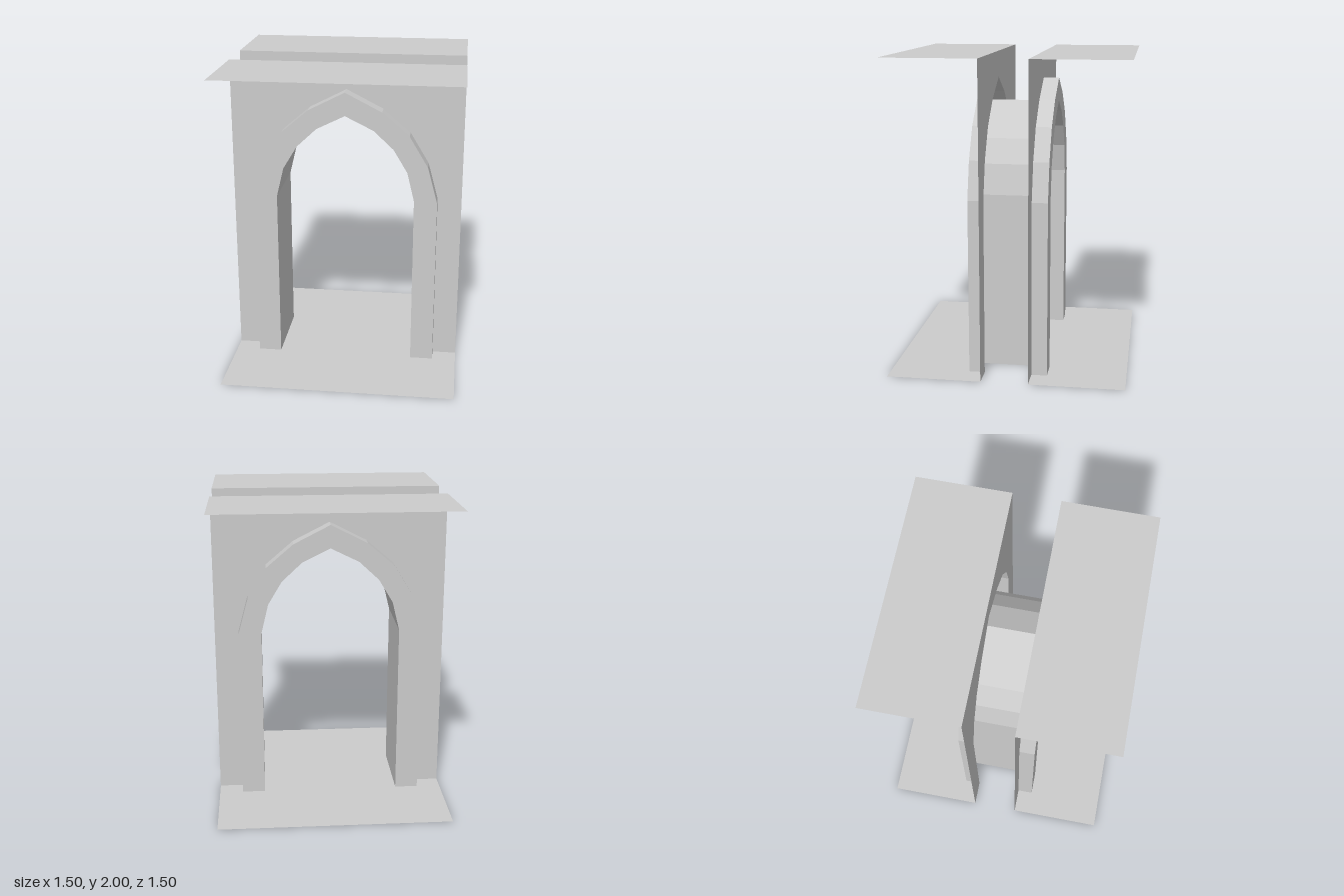
import * as THREE from 'three';

const material = new THREE.MeshStandardMaterial({
  color: 0xcccccc, flatShading: true, side: THREE.DoubleSide,
});

const WALL_Z = 0.15;   // wall planes
const FRAME_Z = 0.25;  // faces of the projecting arch frame
const HALF = 0.75;     // half width and half depth
const HEIGHT = 2;

// Right half of each pointed arch, from foot to peak
const OUTER = [[0.595, 0], [0.595, 1.12], [0.53, 1.36], [0.41, 1.56], [0.235, 1.71], [0, 1.83]];
const INNER = [[0.446, 0], [0.446, 1.13], [0.4, 1.32], [0.31, 1.47], [0.182, 1.59], [0, 1.68]];

// Whole arch from right foot over the peak to left foot
function fullArch(half) {
  const left = half.slice(0, -1).reverse().map(([x, y]) => [-x, y]);
  return [...half, ...left].map(([x, y]) => new THREE.Vector2(x, y));
}

function addMesh(group, name, geometry) {
  const mesh = new THREE.Mesh(geometry, material);
  mesh.name = name;
  group.add(mesh);
  return mesh;
}

function flat(points) {
  return new THREE.ShapeGeometry(new THREE.Shape(points));
}

// Strip of quads following a path, spanning zFront to zBack
function ribbon(path, zFront, zBack) {
  const positions = [];
  for (let i = 0; i < path.length - 1; i++) {
    const a = path[i], b = path[i + 1];
    positions.push(
      a.x, a.y, zFront, b.x, b.y, zFront, b.x, b.y, zBack,
      a.x, a.y, zFront, b.x, b.y, zBack, a.x, a.y, zBack,
    );
  }
  const geometry = new THREE.BufferGeometry();
  geometry.setAttribute('position', new THREE.Float32BufferAttribute(positions, 3));
  geometry.computeVertexNormals();
  return geometry;
}

export function createModel() {
  const model = new THREE.Group();
  model.name = 'archway';
  const v = (x, y) => new THREE.Vector2(x, y);
  const outer = fullArch(OUTER);
  const inner = fullArch(INNER);

  // One side: wall with arch opening, raised frame and upper ledge
  const wallShape = [v(HALF, 0), v(HALF, HEIGHT), v(-HALF, HEIGHT), v(-HALF, 0), ...[...outer].reverse()];
  const frameShape = [...outer, ...[...inner].reverse()];
  for (const side of ['front', 'back']) {
    const group = new THREE.Group();
    group.name = side + 'Side';
    addMesh(group, side + 'Wall', flat(wallShape)).position.z = WALL_Z;
    addMesh(group, side + 'ArchFrame', flat(frameShape)).position.z = FRAME_Z;
    addMesh(group, side + 'ArchFrameEdge', ribbon([...outer].reverse(), FRAME_Z, WALL_Z));
    const ledge = new THREE.PlaneGeometry(HALF * 2, HALF - WALL_Z).rotateX(-Math.PI / 2);
    addMesh(group, side + 'UpperLedge', ledge).position.set(0, HEIGHT, (HALF + WALL_Z) / 2);
    if (side === 'back') group.rotation.y = Math.PI;
    model.add(group);
  }

  // Passage lining through both walls
  addMesh(model, 'archPassage', ribbon(inner, FRAME_Z, -FRAME_Z));

  // Floor, cut away beneath the walls and frame legs
  const foot = OUTER[0][0], gap = INNER[0][0];
  const quarter = [[HALF, HALF], [HALF, WALL_Z], [foot, WALL_Z], [foot, FRAME_Z], [gap, FRAME_Z]];
  const right = [...quarter, ...[...quarter].reverse().map(([x, z]) => [x, -z])];
  const floorShape = [...right, ...[...right].reverse().map(([x, z]) => [-x, z])].map(([x, z]) => v(x, z));
  addMesh(model, 'floor', flat(floorShape).rotateX(-Math.PI / 2));

  return model;
}
